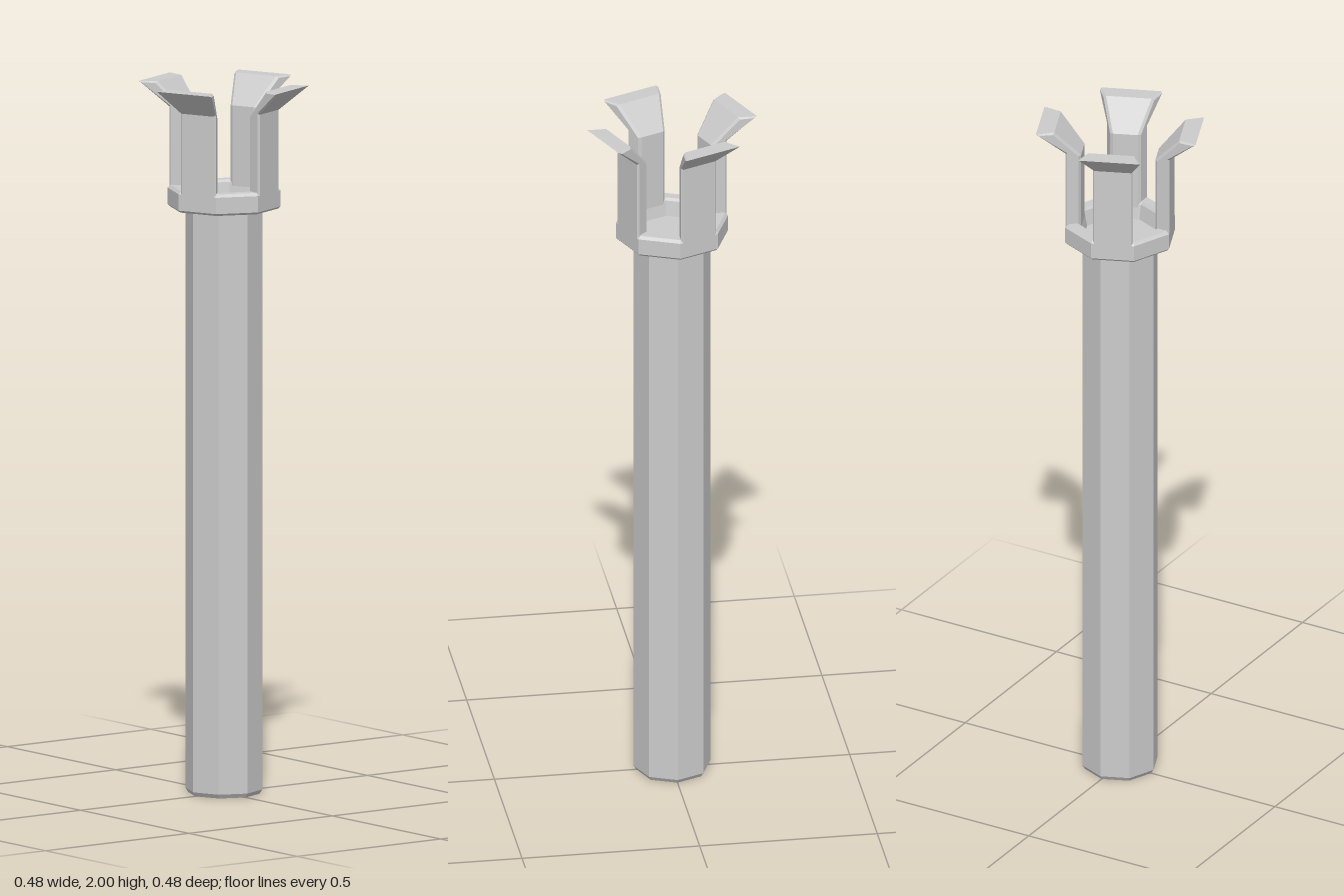
import * as THREE from 'three';

const material = new THREE.MeshStandardMaterial({ color: 0xcccccc, flatShading: true });

// Eight-sided turned part from [radius, height] pairs
function octagonal(name, profile) {
  const points = profile.map(([r, y]) => new THREE.Vector2(r, y));
  const mesh = new THREE.Mesh(new THREE.LatheGeometry(points, 8), material);
  mesh.name = name;
  return mesh;
}

// Prong section as [radius, height]; the inset copy forms the bevelled sides
const full = [[0.158, 1.68], [0.158, 1.93], [0.243, 2], [0.19, 2], [0.113, 1.92], [0.113, 1.68]];
const inset = [[0.152, 1.68], [0.152, 1.933], [0.234, 1.997], [0.193, 1.995], [0.119, 1.918], [0.119, 1.68]];

// Flared prong covering one eighth of the ring, swept from angle 0 to 45 degrees
function prongGeometry() {
  const end = Math.PI / 4;
  const loops = [[inset, 0, 0.002], [full, 0, 0.008], [full, end, -0.008], [inset, end, -0.002]];
  const positions = [], index = [], n = full.length;
  for (const [section, angle, shift] of loops) {
    const c = Math.cos(angle), s = Math.sin(angle);
    for (const [radius, y] of section) {
      const r = radius - 0.414 * Math.abs(shift); // stay on the octagon's face
      positions.push(r * c - shift * s, y, r * s + shift * c);
    }
  }
  for (let j = 0; j < loops.length - 1; j++) {
    for (let i = 0; i < n; i++) {
      const a = j * n + i, b = j * n + (i + 1) % n;
      index.push(a, b, a + n, b, b + n, a + n);
    }
  }
  // side faces: upright quad and flared quad
  const last = 3 * n;
  for (const [a, b, c, d] of [[0, 1, 4, 5], [1, 2, 3, 4]]) {
    index.push(a, c, b, a, d, c);
    index.push(last + a, last + b, last + c, last + a, last + c, last + d);
  }
  const geometry = new THREE.BufferGeometry();
  geometry.setAttribute('position', new THREE.Float32BufferAttribute(positions, 3));
  geometry.setIndex(index);
  geometry.computeVertexNormals();
  return geometry;
}

export function createModel() {
  const model = new THREE.Group();
  model.name = 'prongedPost';

  model.add(octagonal('shaft', [[0, 0], [0.1, 0], [0.108, 0.012], [0.108, 1.655]]));

  // Shallow cup that carries the prongs
  model.add(octagonal('collar', [
    [0, 1.65], [0.152, 1.65], [0.158, 1.656], [0.158, 1.702], [0.15, 1.71],
    [0.121, 1.71], [0.115, 1.703], [0.106, 1.66], [0, 1.66],
  ]));

  const geometry = prongGeometry();
  for (let k = 0; k < 4; k++) {
    const prong = new THREE.Mesh(geometry, material);
    prong.name = 'prong' + (k + 1);
    prong.rotation.y = -Math.PI / 4 - k * Math.PI / 2;
    model.add(prong);
  }
  return model;
}
